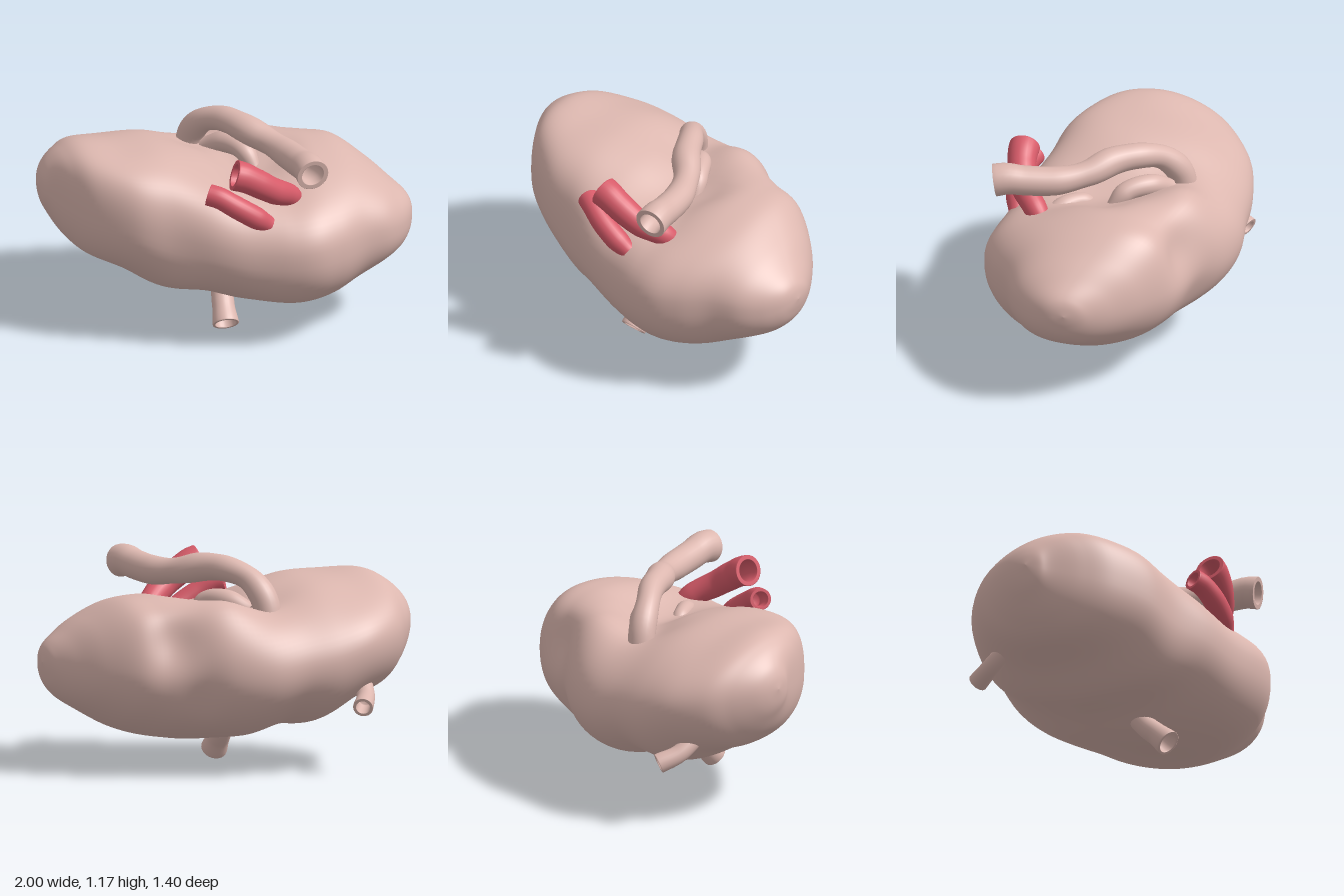
import * as THREE from 'three';

const V = (x, y, z) => new THREE.Vector3(x, y, z);

// Skin a list of rings (each an array of Vector3, all the same length) into a smooth surface
function skin(rings) {
  const n = rings[0].length;
  const pos = [], idx = [];
  rings.forEach(r => r.forEach(p => pos.push(p.x, p.y, p.z)));
  for (let i = 0; i < rings.length - 1; i++) {
    for (let j = 0; j < n; j++) {
      const k = (j + 1) % n;
      const a = i * n + j, b = a + n, c = i * n + k, d = c + n;
      idx.push(a, c, b, b, c, d);
    }
  }
  const g = new THREE.BufferGeometry();
  g.setAttribute('position', new THREE.Float32BufferAttribute(pos, 3));
  g.setIndex(idx);
  g.computeVertexNormals();
  return g;
}

// Body stations: x, yTop, yBottom, zBack, zFront, forward shift of the crest
const STATIONS = [
  [-1.0, 0.795, 0.795, -0.205, -0.205, 0],
  [-0.985, 0.865, 0.70, -0.29, -0.13, 0.01],
  [-0.95, 0.93, 0.62, -0.37, -0.07, 0.03],
  [-0.88, 1.00, 0.51, -0.47, 0.08, 0.06],
  [-0.78, 1.045, 0.42, -0.58, 0.23, 0.09],
  [-0.6, 1.04, 0.345, -0.67, 0.37, 0.12],
  [-0.4, 1.03, 0.23, -0.70, 0.45, 0.1],
  [-0.2, 0.98, 0.225, -0.69, 0.55, 0.03],
  [0.0, 0.95, 0.17, -0.675, 0.62, -0.05],
  [0.2, 0.955, 0.155, -0.60, 0.69, -0.13],
  [0.35, 0.965, 0.16, -0.51, 0.70, -0.16],
  [0.5, 0.96, 0.18, -0.42, 0.645, -0.16],
  [0.65, 0.935, 0.235, -0.345, 0.56, -0.13],
  [0.8, 0.84, 0.32, -0.20, 0.50, -0.07],
  [0.9, 0.755, 0.385, -0.06, 0.42, -0.02],
  [0.96, 0.70, 0.455, 0.05, 0.345, 0],
  [0.988, 0.655, 0.53, 0.12, 0.28, 0],
  [1.0, 0.595, 0.595, 0.2, 0.2, 0],
];

function station(t) {
  const last = STATIONS.length - 1;
  const s = t * last, i = Math.min(Math.floor(s), last - 1), f = s - i;
  const at = k => STATIONS[Math.max(0, Math.min(last, k))];
  return STATIONS[0].map((_, c) => {
    const [a, b, d, e] = [at(i - 1)[c], at(i)[c], at(i + 1)[c], at(i + 2)[c]];
    return b + 0.5 * f * (d - a + f * (2 * a - 5 * b + 4 * d - e + f * (3 * (b - d) + e - a)));
  });
}

// Soft hollows and swellings of the body: centre, radius, push
const DENTS = [
  [V(-0.1, 0.92, -0.25), 0.14, V(0, -0.04, 0)],
  [V(0.06, 0.95, -0.1), 0.17, V(0, -0.06, 0)],
  [V(0.12, 0.93, 0.14), 0.2, V(0, -0.08, 0)],
  [V(0.24, 0.9, 0.4), 0.16, V(0, -0.025, 0)],
  [V(0.3, 0.92, 0.02), 0.1, V(0, -0.025, 0)],
  [V(0.16, 0.86, -0.4), 0.16, V(0, 0.055, 0)],
  [V(0.46, 0.75, -0.4), 0.15, V(-0.02, -0.01, 0.05)],
  [V(0.32, 0.45, -0.45), 0.14, V(0, 0.01, 0.03)],
];

function bodyGeometry() {
  const rings = [], N = 80, M = 110;
  const pow = (v, e) => Math.sign(v) * Math.pow(Math.abs(v), e);
  for (let i = 0; i <= M; i++) {
    const [x, y1, y0, z0, z1, crest] = station(i / M);
    const ring = [];
    for (let j = 0; j < N; j++) {
      const a = (j / N) * Math.PI * 2;
      const c = Math.cos(a), s = Math.sin(a);
      // full at the front, rounder at the back
      const e = s > 0 ? 2 / 2.3 : 2 / 2.02;
      const p = V(x, (y0 + y1) / 2 + pow(c, e) * (y1 - y0) / 2,
        (z0 + z1) / 2 + pow(s, e) * (z1 - z0) / 2 + crest * Math.max(0, c) ** 2);
      const q = p.clone();
      for (const [o, r, push] of DENTS) q.addScaledVector(push, Math.exp(-p.distanceToSquared(o) / (r * r)));
      // gentle organic unevenness, fading at both tips
      const w = 0.006 * Math.sin(9 * x + 4 * p.z) * Math.sin(8 * p.z + 5 * p.y) * (1 - x * x);
      q.y += c * w;
      q.z += s * w;
      ring.push(q);
    }
    rings.push(ring);
  }
  return skin(rings);
}

// Hollow vessel along a path; radii run from root to open end, then the wall turns inward
function vesselGeometry(points, radii, bore = 0.72) {
  const curve = new THREE.CatmullRomCurve3(points);
  const S = 48, N = 24;
  const frames = curve.computeFrenetFrames(S, false);
  const ringAt = (i, scale) => {
    const c = curve.getPointAt(i / S), s = (i / S) * (radii.length - 1);
    const k = Math.min(Math.floor(s), radii.length - 2);
    const f = THREE.MathUtils.smoothstep(s - k, 0, 1);
    const r = (radii[k] * (1 - f) + radii[k + 1] * f) * scale;
    return Array.from({ length: N }, (_, j) => {
      const a = (j / N) * Math.PI * 2;
      return c.clone().addScaledVector(frames.normals[i], Math.cos(a) * r)
        .addScaledVector(frames.binormals[i], Math.sin(a) * r);
    });
  };
  const rings = [];
  for (let i = 0; i <= S; i++) rings.push(ringAt(i, 1));
  rings.push(ringAt(S, 0.97), ringAt(S, bore + 0.03));
  for (let i = S; i >= S * 0.6; i -= 2) rings.push(ringAt(i, bore));
  rings.push(rings[rings.length - 1].map(() => curve.getPointAt(0.58)));
  return skin(rings);
}

export function createModel() {
  const group = new THREE.Group();
  const tissue = new THREE.MeshStandardMaterial({ color: 0xdcb7af });
  tissue.name = 'pale tissue';
  const artery = new THREE.MeshStandardMaterial({ color: 0xd75b69 });
  artery.name = 'artery red';
  tissue.side = artery.side = THREE.DoubleSide;

  const add = (name, geometry, material) => {
    const m = new THREE.Mesh(geometry, material);
    m.name = name;
    group.add(m);
  };

  add('body', bodyGeometry(), tissue);

  // long duct arching over the top
  add('archedDuct', vesselGeometry([
    V(-0.11, 0.81, -0.36), V(-0.09, 0.95, -0.325), V(-0.045, 1.045, -0.24), V(0.03, 1.09, -0.13),
    V(0.11, 1.09, 0.02), V(0.2, 1.06, 0.14), V(0.27, 1.042, 0.3), V(0.305, 1.052, 0.48),
    V(0.318, 1.065, 0.58), V(0.323, 1.055, 0.645),
  ], [0.075, 0.075, 0.065, 0.072, 0.08, 0.07, 0.08, 0.082, 0.09], 0.7), tissue);

  // small folds in the hollow under the duct
  add('innerFold', vesselGeometry([V(-0.03, 0.87, -0.28), V(0.06, 0.925, -0.18), V(0.13, 0.915, -0.06), V(0.18, 0.81, 0.04)],
    [0.05, 0.06, 0.055, 0.03]), tissue);
  add('frontFold', vesselGeometry([V(0.22, 0.77, 0.37), V(0.15, 0.825, 0.27), V(0.1, 0.83, 0.18), V(0.07, 0.77, 0.1)],
    [0.05, 0.055, 0.045, 0.03]), tissue);

  // pair of red vessels, mouths turned towards the right
  add('upperArtery', vesselGeometry([
    V(0.31, 0.77, 0.37), V(0.245, 0.85, 0.43), V(0.14, 0.92, 0.5), V(0.03, 0.995, 0.525),
    V(-0.04, 1.035, 0.525), V(-0.085, 1.05, 0.52),
  ], [0.05, 0.065, 0.072, 0.078, 0.085]), artery);
  add('lowerArtery', vesselGeometry([
    V(0.1, 0.74, 0.54), V(0.01, 0.805, 0.55), V(-0.09, 0.87, 0.535), V(-0.165, 0.915, 0.505),
    V(-0.22, 0.93, 0.475),
  ], [0.05, 0.062, 0.062, 0.06, 0.06]), artery);

  // short open stubs below and behind
  add('lowerStub', vesselGeometry([
    V(-0.04, 0.27, 0.06), V(-0.05, 0.17, 0.14), V(-0.06, 0.1, 0.215), V(-0.065, 0.046, 0.27),
  ], [0.06, 0.06, 0.062, 0.072], 0.8), tissue);
  add('rearStub', vesselGeometry([
    V(-0.62, 0.49, -0.46), V(-0.59, 0.41, -0.57), V(-0.53, 0.365, -0.665),
  ], [0.05, 0.05, 0.055], 0.7), tissue);

  return group;
}
